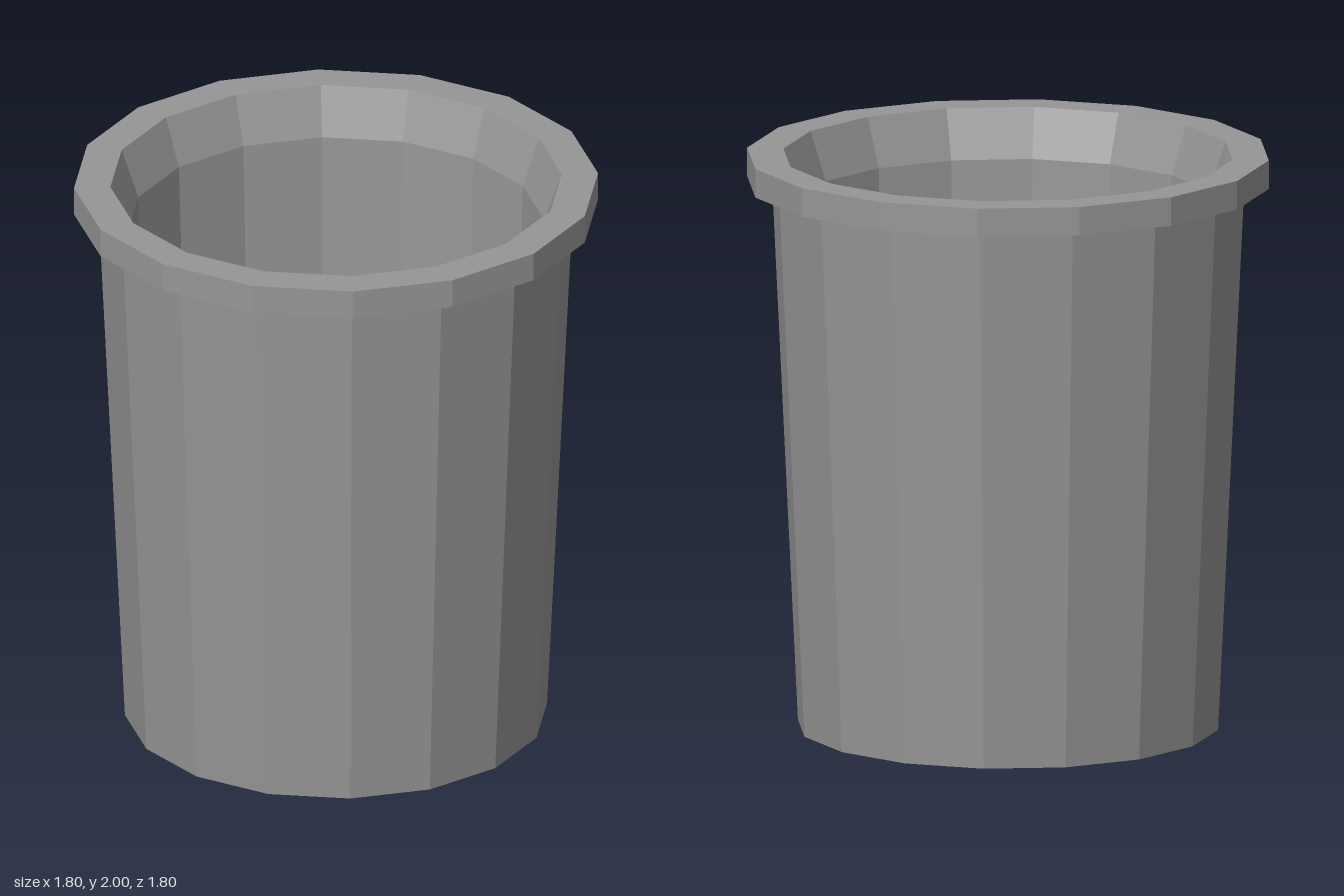
import * as THREE from 'three';

const SIDES = 16;
const material = new THREE.MeshStandardMaterial({ color: 0x969696, flatShading: true });

// Turns a [radius, height] profile into a faceted ring; outer surfaces run upwards
function turned(name, profile) {
  const points = profile.map(([r, y]) => new THREE.Vector2(r, y));
  const mesh = new THREE.Mesh(new THREE.LatheGeometry(points, SIDES), material);
  mesh.name = name;
  return mesh;
}

export function createModel() {
  const group = new THREE.Group();
  group.name = 'bucket';
  group.add(
    // Closed base and tapering outside
    turned('outerWall', [[0, 0], [0.725, 0], [0.815, 1.9]]),
    // Overhanging lip with a bevelled mouth
    turned('rim', [[0.815, 1.9], [0.9, 1.9], [0.9, 2], [0.775, 2], [0.715, 1.83]]),
    // Tapering inside and floor
    turned('innerWall', [[0.715, 1.83], [0.655, 0.1], [0, 0.1]]),
  );
  return group;
}
